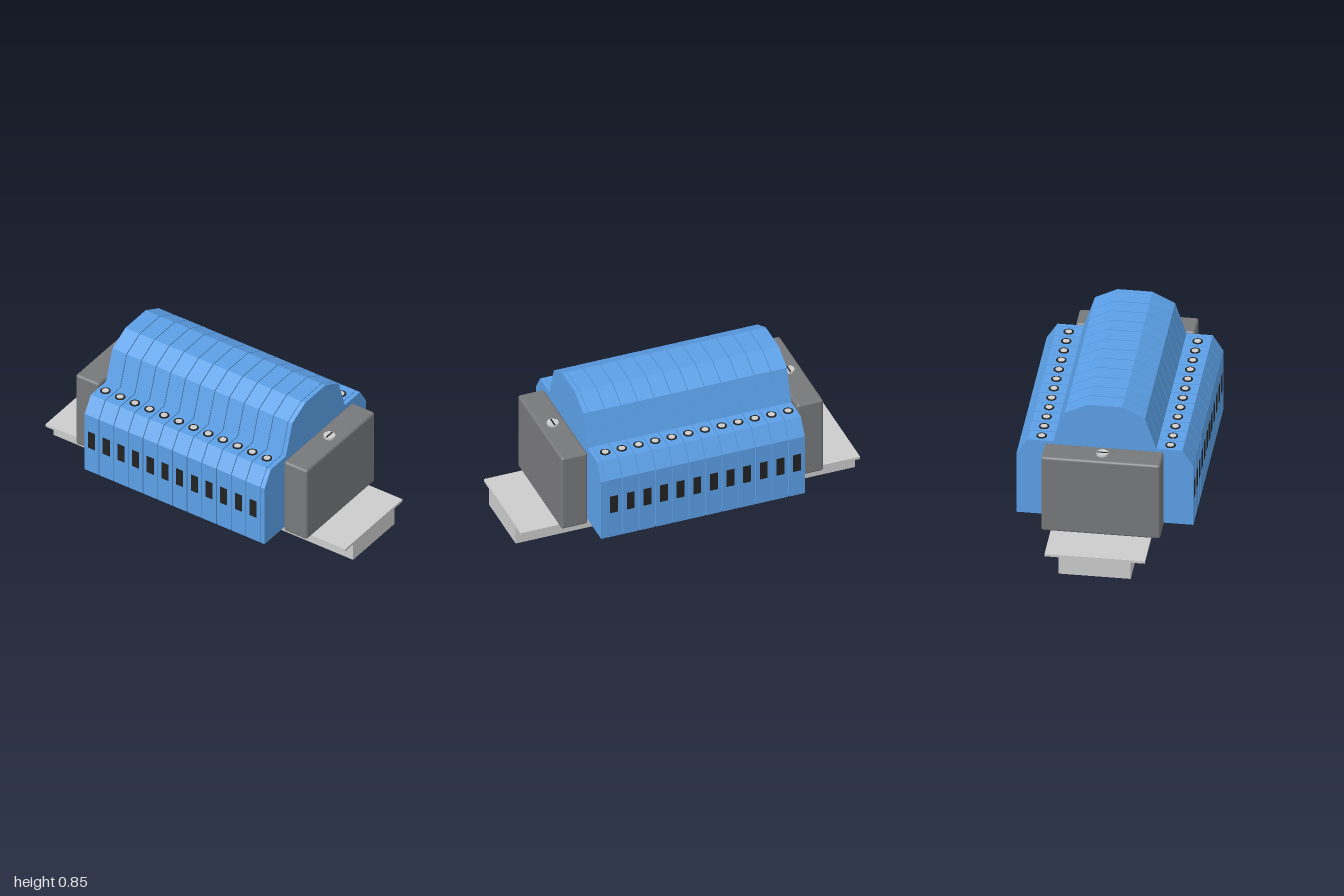
import * as THREE from 'three';
import { RoundedBoxGeometry } from 'three/addons/geometries/RoundedBoxGeometry.js';

const mat = (color) => new THREE.MeshStandardMaterial({ color });

export function createModel() {
  const model = new THREE.Group();
  const grey = mat(0xcccccc), blue = mat(0x5b9fe6), dark = mat(0x77787a), black = mat(0x222222);

  function add(parent, name, geometry, material, x, y, z) {
    const mesh = new THREE.Mesh(geometry, material);
    mesh.name = name;
    mesh.position.set(x, y, z);
    parent.add(mesh);
    return mesh;
  }

  // Mounting rail: deep channel body with a wider thin flange on top
  const rail = new THREE.Group();
  rail.name = 'mountingRail';
  add(rail, 'railBody', new THREE.BoxGeometry(2, 0.105, 0.4), grey, 0, 0.0525, 0);
  add(rail, 'railFlange', new THREE.BoxGeometry(2, 0.015, 0.556), grey, 0, 0.1125, 0);
  model.add(rail);

  // Stepped housing outline (z, y), mirrored front to back
  const half = [[0.49, 0.12], [0.49, 0.5], [0.43, 0.595], [0.285, 0.595], [0.222, 0.785], [0.097, 0.848]];
  const outline = [...half, ...half.map(([z, y]) => [-z, y]).reverse()];
  const shape = new THREE.Shape(outline.map(([z, y]) => new THREE.Vector2(z, y)));
  const slab = (width) => new THREE.ExtrudeGeometry(shape, { depth: width, bevelEnabled: false })
    .translate(0, 0, -width / 2).rotateY(-Math.PI / 2).scale(1, 1, 1);

  // Row of terminal blocks, each with wire entries and screws at front and back
  const housing = slab(0.093);
  const entry = new THREE.BoxGeometry(0.046, 0.11, 0.008);
  const collar = new THREE.CylinderGeometry(0.029, 0.029, 0.006, 24);
  const screw = new THREE.CylinderGeometry(0.019, 0.019, 0.008, 24);
  for (let i = 0; i < 12; i++) {
    const block = new THREE.Group();
    block.name = 'terminalBlock';
    block.position.x = -0.544 + i * 0.098;
    add(block, 'housing', housing, blue, 0, 0, 0);
    for (const s of [1, -1]) {
      add(block, 'wireEntry', entry, black, 0, 0.335, s * 0.488);
      add(block, 'screwCollar', collar, black, 0, 0.595, s * 0.357);
      add(block, 'terminalScrew', screw, grey, 0, 0.596, s * 0.357);
    }
    model.add(block);
  }
  add(model, 'endCover', slab(0.026), blue, 0.597, 0, 0);

  // End clamps with slotted screw heads
  const clampBody = new RoundedBoxGeometry(0.155, 0.475, 0.66, 3, 0.015);
  const clampScrew = new THREE.CylinderGeometry(0.033, 0.033, 0.016, 32);
  for (const x of [-0.687, 0.703]) {
    const clamp = new THREE.Group();
    clamp.name = 'endClamp';
    clamp.position.x = x;
    add(clamp, 'clampBody', clampBody, dark, 0, 0.3575, 0);
    add(clamp, 'clampScrew', clampScrew, grey, 0, 0.6, 0);
    add(clamp, 'screwSlot', new THREE.BoxGeometry(0.009, 0.004, 0.06), black, 0, 0.607, 0);
    model.add(clamp);
  }
  return model;
}
